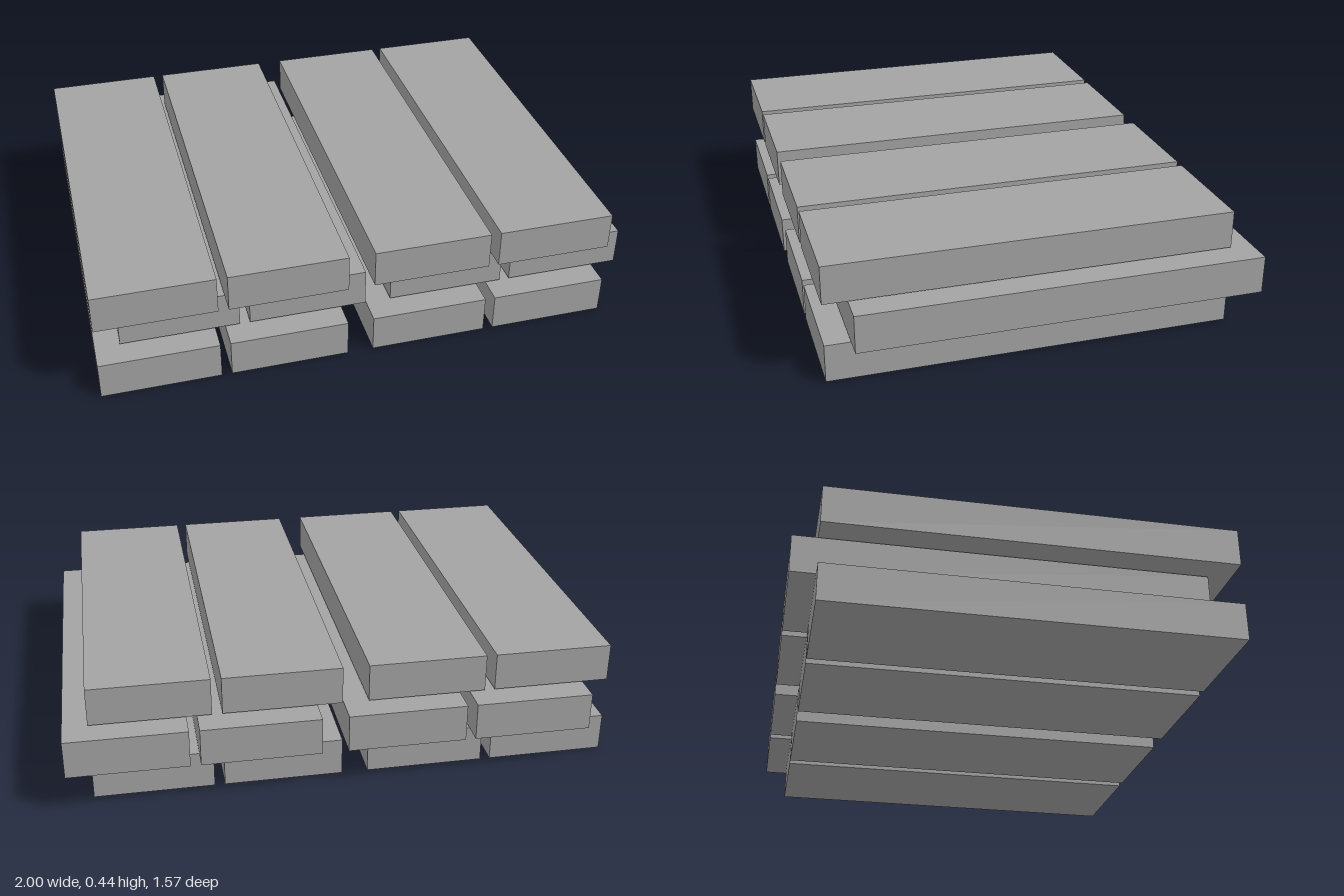
import * as THREE from 'three';

// Three staggered layers of four flat planks, set in two pairs
export function createModel() {
  const model = new THREE.Group();
  model.name = 'plankStack';

  const grey = new THREE.MeshStandardMaterial({ color: 0xa3a3a3 });
  grey.name = 'grey';

  const width = 0.435, height = 0.141, length = 1.483;
  const pitch = 0.149; // vertical step between layers
  const shift = 0.09; // sideways and backward offset of the middle layer
  const leftEdges = [-1, -0.528, 0.003, 0.475];
  const plank = new THREE.BoxGeometry(width, height, length);

  ['bottomLayer', 'middleLayer', 'topLayer'].forEach((name, i) => {
    const layer = new THREE.Group();
    layer.name = name;
    const side = i === 1 ? 1 : 0;
    layer.position.set(side * shift, height / 2 + i * pitch, side ? -0.045 : 0.045);
    leftEdges.forEach((x, j) => {
      const mesh = new THREE.Mesh(plank, grey);
      mesh.name = `plank${j + 1}`;
      mesh.position.x = x + width / 2;
      layer.add(mesh);
    });
    model.add(layer);
  });

  return model;
}
